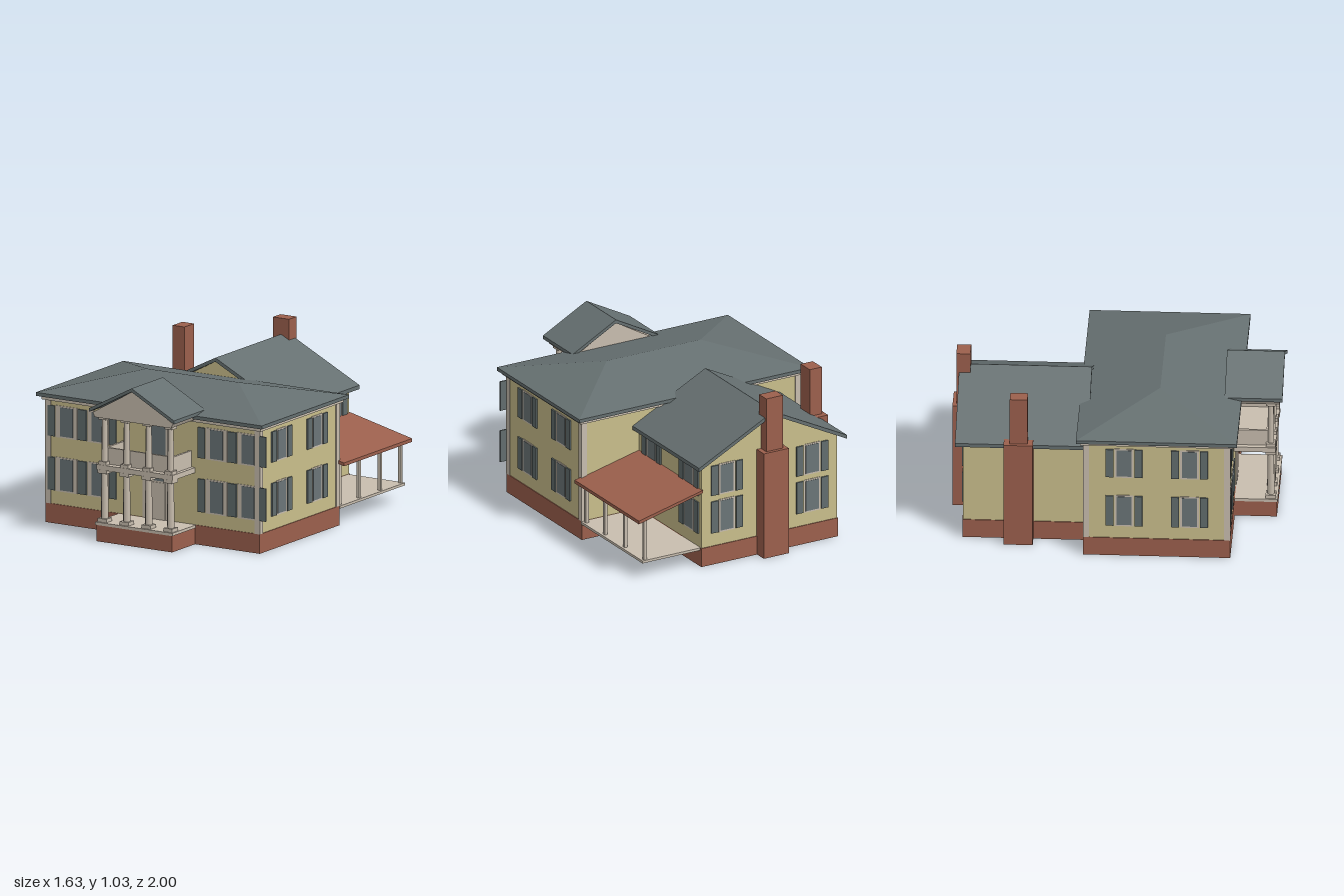
import * as THREE from 'three';
import { ConvexGeometry } from 'three/addons/geometries/ConvexGeometry.js';

const mat = (name, color, flatShading = false) => {
  const m = new THREE.MeshStandardMaterial({ color, flatShading });
  m.name = name;
  return m;
};

export function createModel() {
  const model = new THREE.Group();
  model.name = 'house';
  const brick = mat('brick', 0x9c604d);
  const siding = mat('siding', 0xcabf8c);
  const trim = mat('trim', 0xc9beaf);
  const columnMat = trim;
  const slate = mat('slate', 0x667071, true);
  const glass = mat('glass', 0x6b7578);
  const shutterMat = mat('shutter', 0x626d6e);

  const add = (name, geo, m, parent = model) => {
    const mesh = new THREE.Mesh(geo, m);
    mesh.name = name;
    parent.add(mesh);
    return mesh;
  };
  // box given by its limits on each axis
  const box = (name, m, x0, x1, y0, y1, z0, z1, parent = model) => {
    const mesh = add(name, new THREE.BoxGeometry(x1 - x0, y1 - y0, z1 - z0), m, parent);
    mesh.position.set((x0 + x1) / 2, (y0 + y1) / 2, (z0 + z1) / 2);
    return mesh;
  };
  // outline in x and y, extruded from z0 to z1
  const prism = (name, m, pts, z0, z1) => {
    const shape = new THREE.Shape(pts.map(([x, y]) => new THREE.Vector2(x, y)));
    const geo = new THREE.ExtrudeGeometry(shape, { depth: z1 - z0, bevelEnabled: false });
    add(name, geo, m).position.z = z0;
  };
  // two sloping slabs meeting at a ridge
  const gableRoof = (name, cx, half, eave, ridge, t, z0, z1) => prism(name, slate, [
    [cx - half, eave - t], [cx, ridge - t], [cx + half, eave - t],
    [cx + half, eave], [cx, ridge], [cx - half, eave]], z0, z1);

  // Main block
  box('mainFoundation', brick, -0.77, 0.77, 0, 0.12, -0.18, 0.71);
  box('mainWalls', siding, -0.765, 0.765, 0.12, 0.77, -0.175, 0.705);
  box('mainCornice', trim, -0.787, 0.787, 0.763, 0.787, -0.197, 0.727);
  for (const x of [-0.752, 0.752])
    for (const z of [-0.162, 0.692])
      box('cornerBoard', trim, x - 0.019, x + 0.019, 0.12, 0.764, z - 0.019, z + 0.019);
  box('mainEaves', slate, -0.812, 0.812, 0.786, 0.808, -0.222, 0.752);
  const hip = [[-0.33, 0.92, 0.265], [0.33, 0.92, 0.265]];
  for (const x of [-0.812, 0.812])
    for (const z of [-0.222, 0.752]) hip.push([x, 0.807, z]);
  add('hipRoof', new ConvexGeometry(hip.map((p) => new THREE.Vector3(...p))), slate);

  // Rear wing
  box('wingFoundation', brick, -0.59, 0.37, 0, 0.12, -0.92, -0.17);
  prism('wingWalls', siding, [[-0.585, 0.12], [0.365, 0.12], [0.365, 0.66],
    [-0.11, 0.906], [-0.585, 0.66]], -0.915, -0.17);
  gableRoof('wingRoof', -0.11, 0.52, 0.667, 0.93, 0.024, -0.962, -0.16);

  // Chimneys: wide stack below, narrow stack above
  box('rearChimneyBase', brick, -0.198, -0.022, 0, 0.685, -1, -0.91);
  box('rearChimneyStack', brick, -0.168, -0.052, 0.68, 1.03, -0.978, -0.893);
  box('sideChimneyBase', brick, -0.672, -0.58, 0, 0.685, -0.667, -0.49);
  box('sideChimneyStack', brick, -0.65, -0.565, 0.68, 0.99, -0.63, -0.523);

  // Side porch
  box('sidePorchFloor', trim, 0.36, 0.775, 0.104, 0.12, -0.905, -0.18);
  prism('sidePorchRoof', brick, [[0.36, 0.485], [0.812, 0.374], [0.812, 0.395],
    [0.36, 0.502]], -0.925, -0.165);
  for (const z of [-0.205, -0.425, -0.66, -0.89])
    box('sidePorchPost', trim, 0.74, 0.76, 0.12, 0.392, z - 0.01, z + 0.01);

  // Front portico
  const cx = 0.033;
  box('porticoFoundation', brick, -0.24, 0.305, 0, 0.102, 0.7, 0.965);
  box('porticoFloor', trim, -0.245, 0.31, 0.102, 0.12, 0.7, 0.97);
  box('balconyFloor', trim, -0.243, 0.303, 0.443, 0.475, 0.7, 0.957);
  box('balconyFrontRail', trim, -0.212, 0.278, 0.475, 0.577, 0.9, 0.915);
  for (const x of [-0.204, 0.27])
    box('balconySideRail', trim, x - 0.008, x + 0.008, 0.475, 0.577, 0.7, 0.915);

  const column = (x, y0, y1, r) => {
    const g = new THREE.Group();
    g.name = 'column';
    model.add(g);
    const z = 0.927;
    const shaft = add('shaft', new THREE.CylinderGeometry(r * 0.9, r, y1 - y0, 8), columnMat, g);
    shaft.rotation.y = Math.PI / 8;
    shaft.position.set(x, (y0 + y1) / 2, z);
    const b = r + 0.008;
    box('plinth', trim, x - b, x + b, y0, y0 + 0.022, z - b, z + b, g);
    box('capital', trim, x - b, x + b, y1 - 0.022, y1, z - b, z + b, g);
  };
  for (const k of [-1.5, -0.5, 0.5, 1.5]) {
    column(cx + k * 0.158, 0.12, 0.444, 0.023);
    column(cx + k * 0.158, 0.474, 0.778, 0.02);
  }
  prism('pediment', trim, [[-0.24, 0.774], [0.306, 0.774], [0.322, 0.802],
    [cx + 0.002, 0.968], [-0.256, 0.802]], 0.66, 0.982);
  gableRoof('porticoRoof', 0.035, 0.305, 0.828, 0.99, 0.022, 0.65, 1);

  // Doorways on the front wall
  box('lowerDoorFrame', trim, -0.072, 0.142, 0.12, 0.42, 0.704, 0.711);
  box('transom', glass, -0.024, 0.094, 0.36, 0.41, 0.71, 0.714);
  box('door', trim, -0.024, 0.094, 0.12, 0.35, 0.71, 0.715);
  box('upperDoorFrame', trim, -0.036, 0.106, 0.475, 0.757, 0.704, 0.711);
  box('upperDoorGlass', glass, -0.024, 0.094, 0.49, 0.745, 0.71, 0.714);

  // Shuttered window; local +z points out of the wall
  const windowUnit = (x, z, turn, y0, y1, gap) => {
    const g = new THREE.Group();
    g.name = 'window';
    g.position.set(x, 0, z);
    g.rotation.y = turn;
    model.add(g);
    const f = gap - 0.03;
    box('frame', trim, -f, f, y0 - 0.004, y1 + 0.004, -0.001, 0.004, g);
    box('pane', glass, -0.046, 0.046, y0 + 0.005, y1 - 0.005, 0.003, 0.006, g);
    for (const s of [-gap, gap])
      box('shutter', shutterMat, s - 0.024, s + 0.024, y0, y1, 0, 0.009, g);
  };
  const lower = [0.205, 0.41], upper = [0.54, 0.73], wingUpper = [0.45, 0.643];
  for (const [a, b] of [lower, upper]) {
    for (const x of [-0.62, -0.393, 0.458, 0.685]) windowUnit(x, 0.705, 0, a, b, 0.107);
    for (const s of [-1, 1])
      for (const z of [0.463, 0.067]) windowUnit(s * 0.765, z, s * Math.PI / 2, a, b, 0.087);
  }
  for (const [a, b] of [lower, wingUpper]) {
    for (const z of [-0.33, -0.77]) windowUnit(0.365, z, Math.PI / 2, a, b, 0.087);
    for (const x of [0.19, -0.41]) windowUnit(x, -0.915, Math.PI, a, b, 0.087);
  }
  return model;
}
